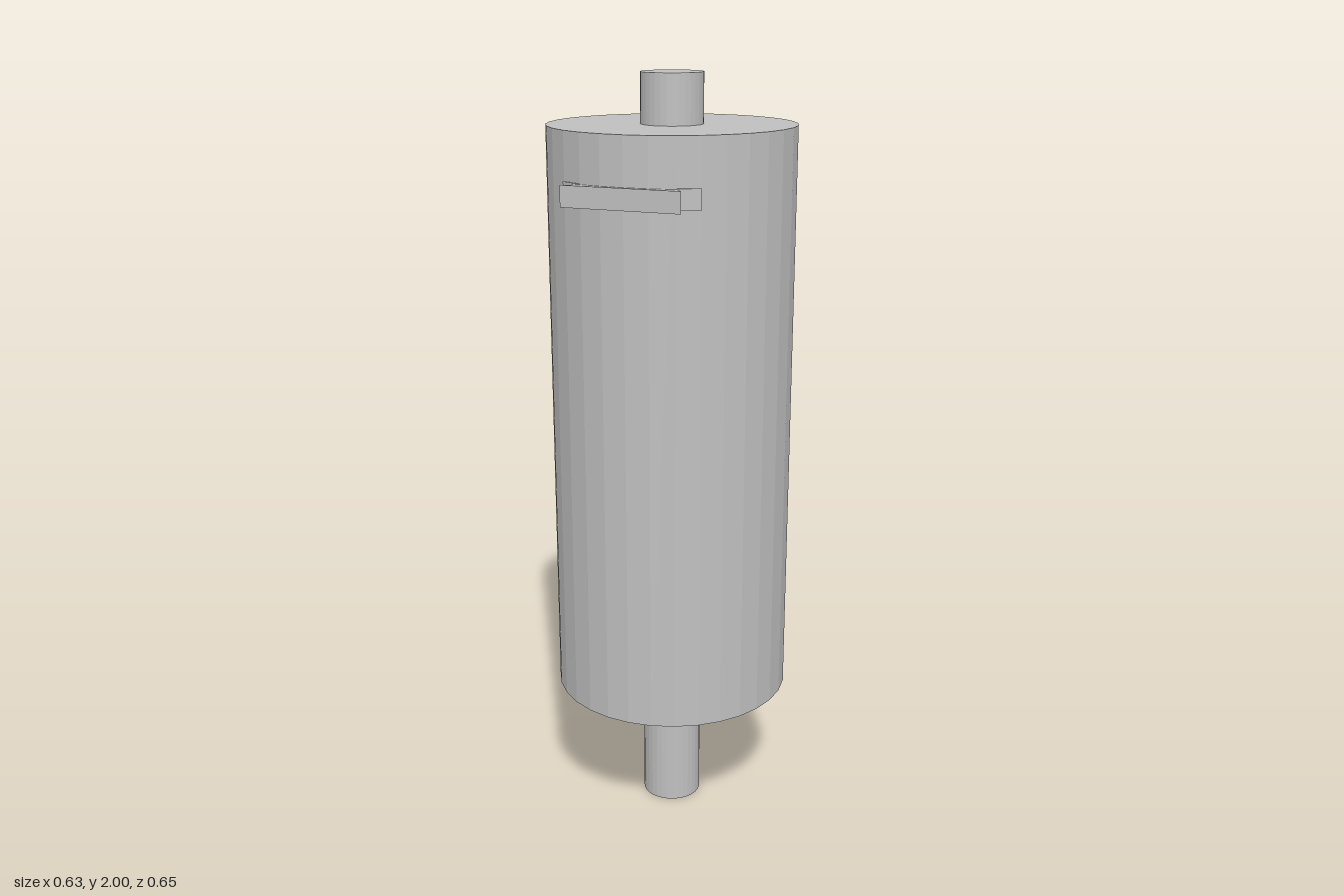
import * as THREE from 'three';

const AXIS_Z = -0.011;   // the drum axis sits slightly behind centre
const RADIUS = 0.314;
const SIDES = 32;

export function createModel() {
  const group = new THREE.Group();
  const grey = new THREE.MeshStandardMaterial({ color: 0xc0c0c0, flatShading: true });
  grey.name = 'plain grey';

  const add = (name, geometry, x, y, z) => {
    const mesh = new THREE.Mesh(geometry, grey);
    mesh.name = name;
    mesh.position.set(x, y, z);
    group.add(mesh);
    return mesh;
  };
  const upright = (name, radius, y0, y1) =>
    add(name, new THREE.CylinderGeometry(radius, radius, y1 - y0, SIDES), 0, (y0 + y1) / 2, AXIS_Z);

  // Drum with a pipe at each end
  upright('drum', RADIUS, 0.365, 1.875);
  upright('bottomPipe', 0.079, 0, 0.365);
  upright('topPipe', 0.079, 1.875, 2);

  // Front bracket: a solid bar that narrows towards the drum
  const bar = new THREE.BoxGeometry(0.304, 0.052, 0.045);
  const p = bar.attributes.position;
  for (let i = 0; i < p.count; i++) {
    if (p.getZ(i) < 0) p.setXY(i, p.getX(i) * 0.82, p.getY(i) * 0.88);
  }
  bar.computeVertexNormals();
  add('bracketBar', bar, 0, 1.731, 0.3005);

  // Thin feet lying on the drum facets either side of the bar
  const facetAngle = 2.5 * (2 * Math.PI / SIDES);
  const facetDistance = RADIUS * Math.cos(Math.PI / SIDES);
  for (const side of [-1, 1]) {
    const angle = side * facetAngle;
    const d = facetDistance + 0.001;
    const foot = add('bracketFoot', new THREE.BoxGeometry(0.062, 0.05, 0.006),
      Math.sin(angle) * d, 1.731, AXIS_Z + Math.cos(angle) * d);
    foot.rotation.y = angle;
  }
  return group;
}
